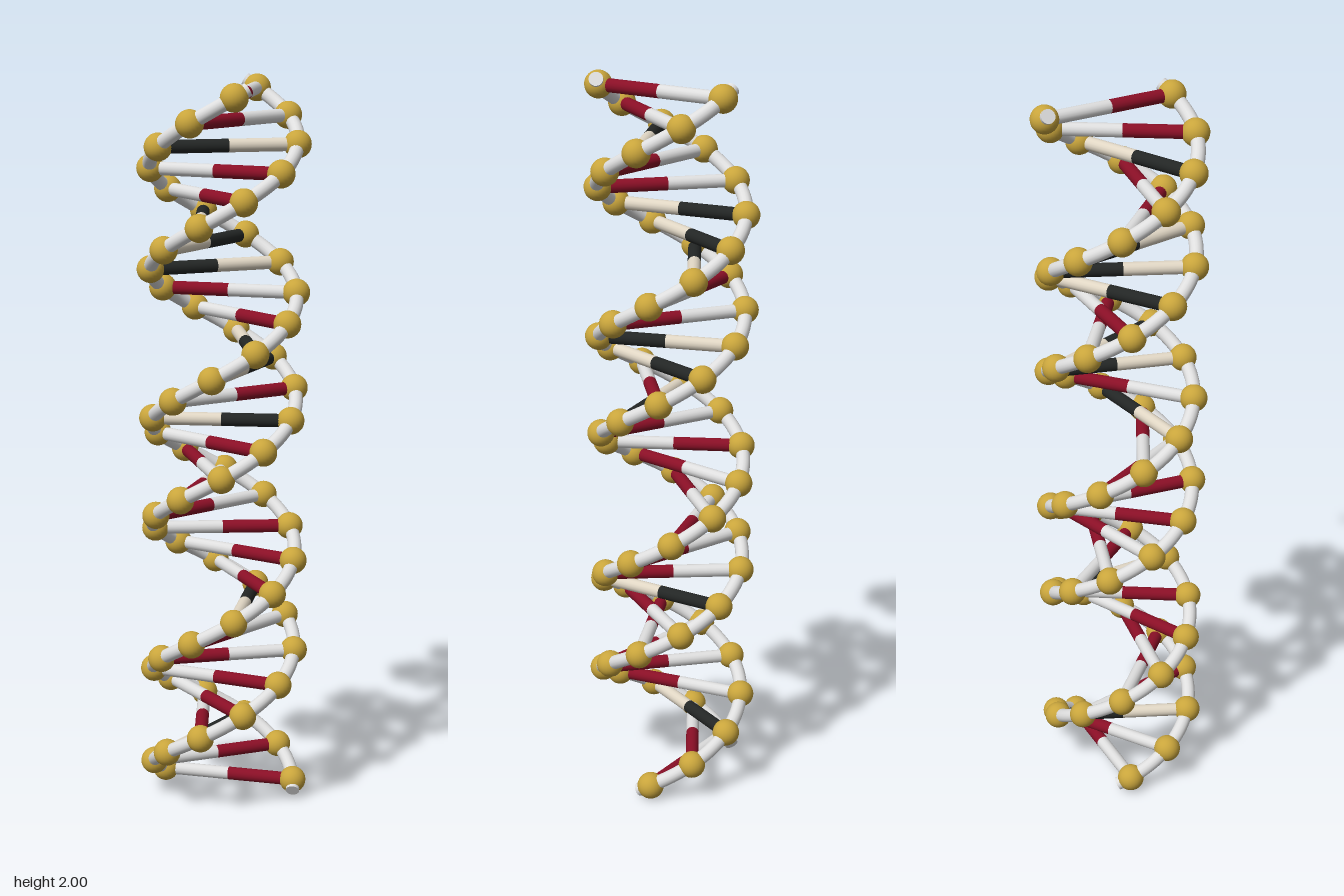
import * as THREE from 'three';

const COUNT = 30, RADIUS = 0.195, Y0 = 0.038, RISE = 0.0664;
const TWIST = THREE.MathUtils.degToRad(-360 / 10.5);
const START_A = THREE.MathUtils.degToRad(216.3);
const START_B = THREE.MathUtils.degToRad(360.9);
const OVERHANG = 0.3; // strand length past the end beads, in steps

// One letter per rung, for the half joined to strand A:
// r = red with white, w = white with red, k = black with cream, c = cream with black
const SEQUENCE = 'wwcrrrwwkwwwrrwrkrkcwrkccrrcww';

const mat = (name, color) => {
  const m = new THREE.MeshStandardMaterial({ color });
  m.name = name;
  return m;
};

// Point on a strand at a (fractional) step
const helixPoint = (start, i) => {
  const a = start + TWIST * i;
  return new THREE.Vector3(RADIUS * Math.cos(a), Y0 + RISE * i, RADIUS * Math.sin(a));
};

class HelixCurve extends THREE.Curve {
  constructor(start) {
    super();
    this.start = start;
  }
  getPoint(t, target = new THREE.Vector3()) {
    const i = -OVERHANG + t * (COUNT - 1 + 2 * OVERHANG);
    return target.copy(helixPoint(this.start, i));
  }
}

export function createModel() {
  const white = mat('white', 0xdedede);
  const gold = mat('gold', 0xc9a53c);
  const red = mat('red', 0x8a0f26);
  const black = mat('black', 0x232625);
  const cream = mat('cream', 0xe0d6c4);
  const pairs = { r: [red, white], w: [white, red], k: [black, cream], c: [cream, black] };

  const model = new THREE.Group();
  model.name = 'doubleHelix';
  const add = (parent, name, geometry, material) => {
    const mesh = new THREE.Mesh(geometry, material);
    mesh.name = name;
    parent.add(mesh);
    return mesh;
  };

  const beadGeo = new THREE.SphereGeometry(0.037, 24, 16);
  const up = new THREE.Vector3(0, 1, 0);

  // Two strands: tube, flat end discs and a bead at every rung
  const strand = (name, start) => {
    const group = new THREE.Group();
    group.name = name;
    model.add(group);
    const curve = new HelixCurve(start);
    add(group, 'strandTube', new THREE.TubeGeometry(curve, 360, 0.019, 16), white);
    for (const t of [0, 1]) {
      const cap = add(group, 'strandEnd', new THREE.CircleGeometry(0.019, 16), white);
      const out = curve.getTangent(t).multiplyScalar(t ? 1 : -1);
      cap.position.copy(curve.getPoint(t));
      cap.quaternion.setFromUnitVectors(new THREE.Vector3(0, 0, 1), out);
    }
    for (let i = 0; i < COUNT; i++) {
      add(group, 'bead', beadGeo, gold).position.copy(helixPoint(start, i));
    }
  };
  strand('strandA', START_A);
  strand('strandB', START_B);

  // Rungs: two coloured halves meeting in the middle
  const rungs = new THREE.Group();
  rungs.name = 'rungs';
  model.add(rungs);
  const half = helixPoint(START_A, 0).distanceTo(helixPoint(START_B, 0)) / 2;
  const halfGeo = new THREE.CylinderGeometry(0.018, 0.018, half, 16);
  for (let i = 0; i < COUNT; i++) {
    const a = helixPoint(START_A, i), b = helixPoint(START_B, i);
    const dir = b.clone().sub(a).normalize();
    pairs[SEQUENCE[i]].forEach((material, side) => {
      const bar = add(rungs, side ? 'rungHalfB' : 'rungHalfA', halfGeo, material);
      bar.position.lerpVectors(a, b, side ? 0.75 : 0.25);
      bar.quaternion.setFromUnitVectors(up, dir);
    });
  }
  return model;
}
